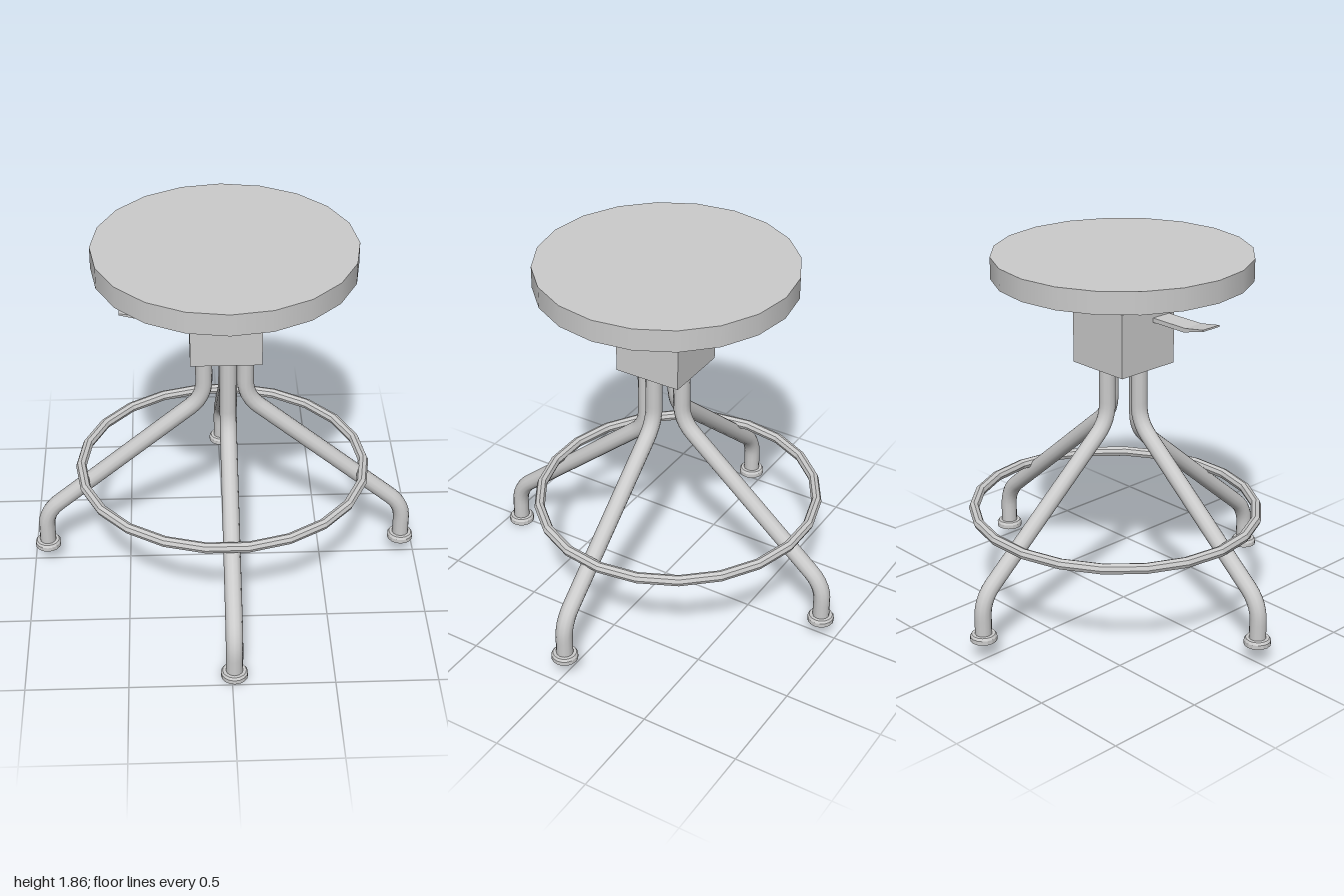
import * as THREE from 'three';

const grey = new THREE.MeshStandardMaterial({ color: 0xcccccc });
const greyFlat = new THREE.MeshStandardMaterial({ color: 0xcccccc, flatShading: true, side: THREE.DoubleSide });

function part(parent, name, geometry, material = grey, x = 0, y = 0, z = 0) {
  const mesh = new THREE.Mesh(geometry, material);
  mesh.name = name;
  mesh.position.set(x, y, z);
  parent.add(mesh);
  return mesh;
}

// Polyline with its inner corners rounded off
function roundedPath(points, radius) {
  const path = new THREE.CurvePath();
  let start = points[0];
  for (let i = 1; i < points.length - 1; i++) {
    const corner = points[i];
    const a = corner.clone().add(points[i - 1].clone().sub(corner).setLength(radius));
    const b = corner.clone().add(points[i + 1].clone().sub(corner).setLength(radius));
    path.add(new THREE.LineCurve3(start, a));
    path.add(new THREE.QuadraticBezierCurve3(a, corner, b));
    start = b;
  }
  path.add(new THREE.LineCurve3(start, points[points.length - 1]));
  return path;
}

// Bent tube leg running out along +x, with a stepped foot; drop lowers its bends and foot
function makeLeg(name, drop) {
  const leg = new THREE.Group();
  leg.name = name;
  const path = roundedPath([
    new THREE.Vector3(0.103, 1.45, 0),
    new THREE.Vector3(0.103, 1.015 - drop, 0),
    new THREE.Vector3(0.927, 0.315 - drop, 0),
    new THREE.Vector3(0.927, 0.12 - drop, 0),
  ], 0.09);
  part(leg, 'legTube', new THREE.TubeGeometry(path, 56, 0.042, 12, false));
  const profile = [[0, 0], [0.066, 0], [0.066, 0.022], [0.058, 0.034], [0, 0.034]]
    .map(([r, y]) => new THREE.Vector2(r, y));
  part(leg, 'foot', new THREE.LatheGeometry(profile, 16), greyFlat, 0.927, 0.1 - drop, 0);
  return leg;
}

export function createModel() {
  const model = new THREE.Group();
  model.name = 'stool';

  // Round seat and its spindle
  part(model, 'seat', new THREE.CylinderGeometry(0.638, 0.638, 0.11, 20), grey, 0, 1.805, -0.005);
  part(model, 'spindle', new THREE.CylinderGeometry(0.05, 0.05, 0.12, 12), grey, 0.003, 1.71, 0);

  // Square housing: chamfered on top, hollow and open below
  const housing = [[0, 1.5], [0.15, 1.5], [0.15, 1.3], [0.174, 1.3], [0.174, 1.62], [0.11, 1.68], [0, 1.68]]
    .map(([half, y]) => new THREE.Vector2(half * Math.SQRT2, y));
  const housingGeometry = new THREE.LatheGeometry(housing, 4).rotateY(Math.PI / 4);
  part(model, 'housing', housingGeometry, greyFlat);

  // Flat height lever with an upturned tip
  const lever = new THREE.Shape([
    [-0.16, 1.54], [-0.16, 1.562], [-0.39, 1.562], [-0.508, 1.582], [-0.508, 1.573], [-0.38, 1.54],
  ].map(([x, y]) => new THREE.Vector2(x, y)));
  const leverGeometry = new THREE.ExtrudeGeometry(lever, { depth: 0.11, bevelEnabled: false });
  part(model, 'lever', leverGeometry, greyFlat, 0, 0, 0.03);

  // Four legs: the front one reaches lower than the rest
  ['rightSideLeg', 'backLeg', 'leftSideLeg', 'frontLeg'].forEach((name, i) => {
    const leg = makeLeg(name, name === 'frontLeg' ? 0.1 : 0);
    leg.rotation.y = Math.PI - i * Math.PI / 2;
    if (name === 'backLeg') leg.rotation.y = Math.PI / 2;
    leg.position.set(i % 2 ? 0.012 : -0.002, 0, i % 2 ? 0.004 : 0.006);
    model.add(leg);
  });

  // Footrest ring, set slightly toward the back
  const ringGeometry = new THREE.TorusGeometry(0.728, 0.027, 8, 22).rotateX(Math.PI / 2);
  const ring = part(model, 'footrestRing', ringGeometry, greyFlat, -0.01, 0.548, -0.068);
  ring.scale.z = 0.962;

  return model;
}
